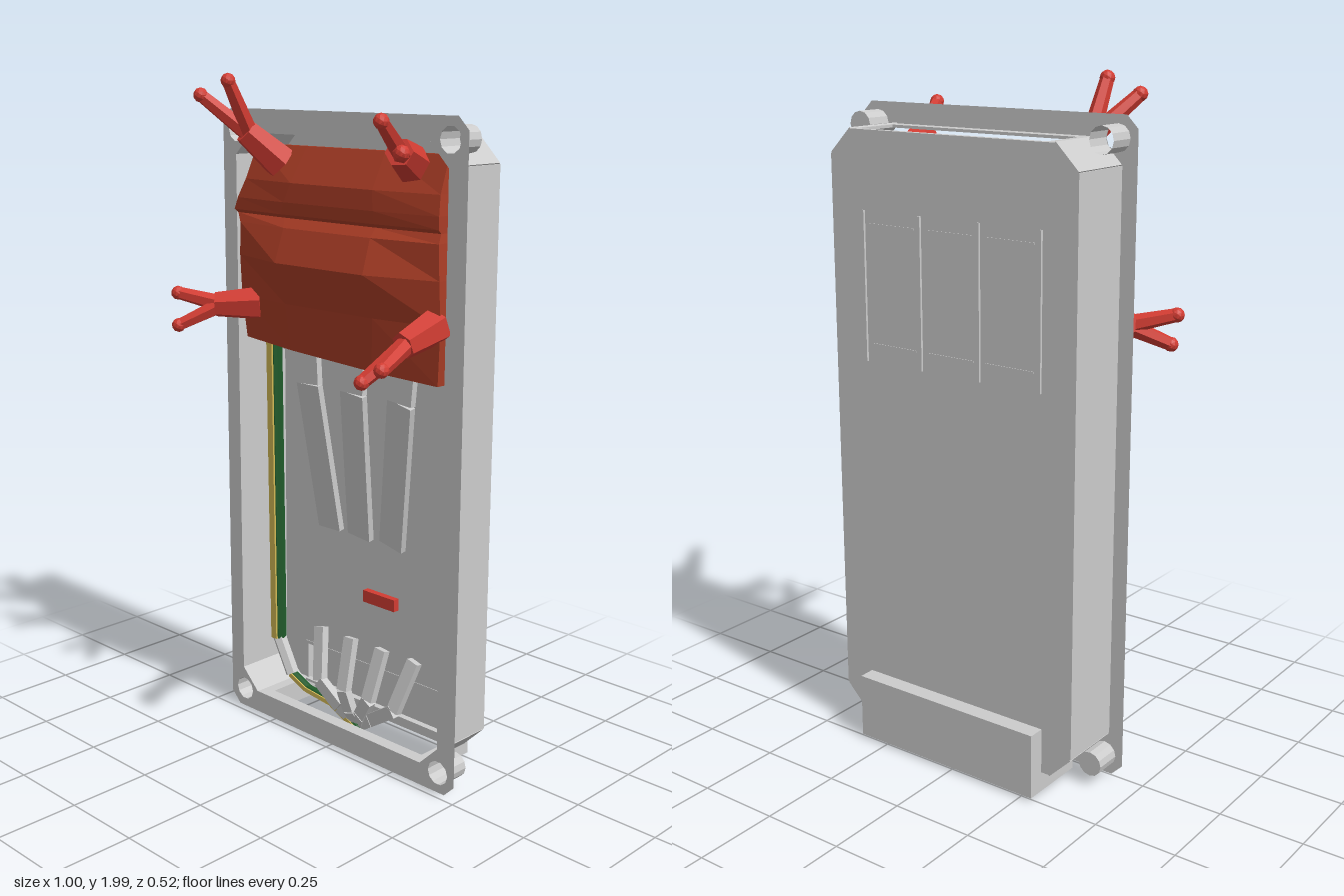
import * as THREE from 'three';

const V = (x, y, z) => new THREE.Vector3(x, y, z);
const mat = (color) => new THREE.MeshStandardMaterial({ color, flatShading: true, side: THREE.DoubleSide });
const GREY = mat(0xcccccc), SKIN = mat(0xa83c25), RED = mat(0xd23c32), GREEN = mat(0x1f5a2a), YELLOW = mat(0xd2b855);

// Housing extents
const X0 = -0.385, X1 = 0.435, Y0 = 0.08, Y1 = 1.84, C = 0.07, ZF = -0.01, ZB = -0.21;

function polygon(points) {
  return new THREE.Shape(points.map(([x, y]) => new THREE.Vector2(x, y)));
}
function chamfered(x0, y0, x1, y1, c) {
  return [[x0 + c, y0], [x1 - c, y0], [x1, y0 + c], [x1, y1 - c], [x1 - c, y1], [x0 + c, y1], [x0, y1 - c], [x0, y0 + c]];
}

export function createModel() {
  const model = new THREE.Group();

  const group = (name) => {
    const g = new THREE.Group();
    g.name = name;
    model.add(g);
    return g;
  };
  const add = (parent, name, geometry, material = GREY) => {
    const m = new THREE.Mesh(geometry, material);
    m.name = name;
    parent.add(m);
    return m;
  };
  // Box given by its two extreme corners
  const box = (parent, name, x0, x1, y0, y1, z0, z1, material) =>
    add(parent, name, new THREE.BoxGeometry(x1 - x0, y1 - y0, z1 - z0), material)
      .position.set((x0 + x1) / 2, (y0 + y1) / 2, (z0 + z1) / 2);
  // Flat bar from a to b, broad side facing forward
  const bar = (parent, name, a, b, width, thick, material) => {
    const y = b.clone().sub(a), length = y.length();
    y.normalize();
    const x = y.clone().cross(V(0, 0, 1)).normalize();
    const m = add(parent, name, new THREE.BoxGeometry(width, length, thick), material);
    m.quaternion.setFromRotationMatrix(new THREE.Matrix4().makeBasis(x, y, x.clone().cross(y)));
    m.position.copy(a).add(b).multiplyScalar(0.5);
  };
  // Tapered rod from a to b
  const rod = (parent, name, a, b, ra, rb, material, sides = 6) => {
    const d = b.clone().sub(a);
    const m = add(parent, name, new THREE.CylinderGeometry(rb, ra, d.length(), sides), material);
    m.quaternion.setFromUnitVectors(V(0, 1, 0), d.normalize());
    m.position.copy(a).add(b).multiplyScalar(0.5);
  };

  // Front flange: thin frame with screw holes
  const corners = [[-0.375, Y1], [X1, Y1], [-0.375, Y0], [X1, Y0]];
  const flange = polygon(chamfered(-0.435, 0.02, 0.495, 1.9, 0.035));
  flange.holes.push(polygon(chamfered(X0, Y0, X1, Y1, C)));
  for (const [x, y] of corners) flange.holes.push(new THREE.Path().absarc(x, y, 0.036, 0, Math.PI * 2));
  add(model, 'frontFlange', new THREE.ShapeGeometry(flange, 5)).position.z = ZF;

  // Screw bosses; the top one on the right side is a through hole
  const bosses = group('screwBosses');
  corners.forEach(([x, y], i) => {
    const tube = add(bosses, 'screwBoss', new THREE.CylinderGeometry(0.037, 0.037, 0.08, 12, 1, true));
    tube.rotation.x = Math.PI / 2;
    tube.position.set(x, y, -0.05);
    if (i) add(bosses, 'bossEnd', new THREE.CircleGeometry(0.037, 12)).position.set(x, y, -0.09);
  });

  // Side walls and chamfered corners
  const walls = group('housingWalls');
  const outline = chamfered(X0, Y0, X1, Y1, C);
  outline.forEach(([ax, ay], i) => {
    const [bx, by] = outline[(i + 1) % 8];
    if (ay !== by) bar(walls, 'wall', V(ax, ay, (ZF + ZB) / 2), V(bx, by, (ZF + ZB) / 2), 0.008, ZF - ZB);
  });
  // End walls, each with a wide window
  for (const y of [Y0, Y1 - 0.008]) {
    box(walls, 'endStrip', X0 + C, X1 - C, y, y + 0.008, -0.05, ZF);
    box(walls, 'endStrip', X0 + C, X1 - C, y, y + 0.008, ZB, -0.19);
    box(walls, 'endPost', X0 + C, -0.28, y, y + 0.008, -0.19, -0.05);
    box(walls, 'endPost', 0.35, X1 - C, y, y + 0.008, -0.19, -0.05);
  }

  // Back panel, notched where the cable hood sits
  const [first, ...rest] = outline;
  const panel = polygon([first, [-0.28, Y0], [-0.28, 0.205], [0.33, 0.205], [0.33, Y0], ...rest]);
  add(model, 'backPanel', new THREE.ExtrudeGeometry(panel, { depth: 0.008, bevelEnabled: false })).position.z = ZB;

  // Cable hood, open underneath
  const hood = group('cableHood');
  box(hood, 'hoodBack', -0.29, 0.34, 0.02, 0.215, -0.26, -0.25);
  box(hood, 'hoodTop', -0.29, 0.34, 0.205, 0.215, -0.255, -0.2);
  const cheek = polygon([[0.05, 0.02], [0.26, 0.02], [0.26, 0.215], [0.2, 0.215], [0.2, 0.08], [0.05, 0.08]]);
  for (const x of [-0.28, 0.34]) {
    const m = add(hood, 'hoodSide', new THREE.ExtrudeGeometry(cheek, { depth: 0.01, bevelEnabled: false }));
    m.rotation.y = Math.PI / 2;
    m.position.x = x - 0.01;
  }

  // Dividers passing through the back panel, with joints between them
  const terminals = group('terminals');
  for (let i = 0; i < 4; i++) {
    const x = -0.277 + i * 0.2;
    box(terminals, 'divider', x - 0.004, x + 0.004, 1.19, 1.62, -0.217, -0.1);
    if (i < 3) for (const y of [1.24, 1.58]) box(terminals, 'joint', x + 0.02, x + 0.18, y, y + 0.005, -0.212, -0.2);
  }
  // Three terminal blocks with flat cables
  const ends = [-0.165, -0.04, 0.09];
  [-0.17, 0.025, 0.225].forEach((x, i) => {
    box(terminals, 'blockBase', x - 0.085, x + 0.085, 1.22, 1.58, -0.19, -0.15);
    box(terminals, 'blockBody', x - 0.07, x + 0.07, 1.25, 1.54, -0.15, -0.07);
    box(terminals, 'blockClamp', x - 0.023, x + 0.023, 1.24, 1.56, -0.13, -0.063);
    const mid = V(x + (ends[i] - x) * 0.2, 1.1, -0.1);
    bar(terminals, 'flatCable', V(x - 0.01, 1.28, -0.1), mid, 0.09, 0.02);
    bar(terminals, 'flatCable', mid, V(ends[i], 0.63, -0.19), 0.09, 0.02);
  });

  // Small cables gathering at the bottom
  const cables = group('lowerCables');
  for (const x of [-0.17, -0.04, 0.09, 0.22]) {
    const pts = [V(x, 0.31, -0.15), V(x * 0.8, 0.15, -0.11), V(x * 0.35, 0.085, -0.12), V(x * 0.1, 0.05, -0.14)];
    for (let i = 0; i < 3; i++) bar(cables, 'cable', pts[i], pts[i + 1], 0.04, 0.025);
  }

  // Striped earth wire along the side, with a sleeve at its lower bend
  const wire = group('earthWire');
  const runs = [
    [V(-0.1, 1.6, -0.14), V(-0.22, 1.72, -0.12), V(-0.335, 1.74, -0.11), V(-0.33, 0.24, -0.12)],
    [V(-0.27, 0.13, -0.12), V(-0.2, 0.1, -0.12), V(-0.1, 0.082, -0.13), V(0, 0.025, -0.14)],
  ];
  runs.forEach((pts, k) => {
    const r = k ? 0.014 : 0.023;
    for (let i = 0; i < 3; i++) {
      rod(wire, 'greenCore', pts[i], pts[i + 1], r, r, GREEN, 8);
      const lift = V(0, 0, r * 0.7);
      bar(wire, 'yellowStripe', pts[i].clone().add(lift), pts[i + 1].clone().add(lift), r, r * 0.8, YELLOW);
    }
  });
  rod(wire, 'sleeve', V(-0.33, 0.24, -0.12), V(-0.27, 0.13, -0.12), 0.022, 0.022);
  add(wire, 'wireTip', new THREE.IcosahedronGeometry(0.018), GREEN).position.set(0, 0.025, -0.14);

  // Label plate
  box(model, 'labelPlate', 0.155, 0.275, 0.525, 0.56, -0.015, 0.005, RED);

  // Body cross-sections, top to bottom: y, left x, right x, edge z, middle z, slope
  const rows = [
    [1.8, -0.33, 0.4, -0.05, -0.045, 0], [1.7, -0.34, 0.405, -0.01, 0.012, 0],
    [1.645, -0.365, 0.41, 0, 0.016, 0], [1.61, -0.38, 0.41, 0, 0.012, 0],
    [1.6, -0.375, 0.41, -0.01, 0.002, 0], [1.575, -0.35, 0.415, 0.005, 0.03, 0],
    [1.48, -0.345, 0.425, 0.012, 0.07, 0], [1.36, -0.34, 0.43, 0.01, 0.035, 0],
    [1.22, -0.325, 0.42, 0.005, 0.025, 0.05],
  ];
  const pos = [], idx = [], n = 6;
  rows.forEach(([y, l, r, e, m, s]) => {
    const loop = [[l, e], [l + 0.21, m], [r - 0.22, m], [r, e], [r, -0.06], [l, -0.06]];
    for (const [x, z] of loop) pos.push(x, y - s * x, z);
  });
  for (let r = 0; r < rows.length - 1; r++) for (let c = 0; c < n; c++) {
    const a = r * n + c, d = r * n + (c + 1) % n;
    idx.push(a, a + n, d + n, a, d + n, d);
  }
  const last = (rows.length - 1) * n;
  for (let i = 1; i < n - 1; i++) idx.push(0, i, i + 1, last, last + i + 1, last + i);
  const bodyGeo = new THREE.BufferGeometry();
  bodyGeo.setAttribute('position', new THREE.Float32BufferAttribute(pos, 3));
  bodyGeo.setIndex(idx);
  bodyGeo.computeVertexNormals();
  add(model, 'creatureBody', bodyGeo, SKIN);

  // Two-fingered hands: root, fork, finger tips
  const hands = [
    ['upperRightHand', V(-0.21, 1.75, -0.03), V(-0.26, 1.84, 0.06), V(-0.247, 1.98, 0.135), V(-0.335, 1.94, 0.16)],
    ['upperLeftHand', V(0.29, 1.77, -0.03), V(0.35, 1.81, 0.09), V(0.38, 1.89, 0.19), V(0.44, 1.815, 0.18)],
    ['lowerRightHand', V(-0.28, 1.34, -0.01), V(-0.38, 1.335, 0.08), V(-0.48, 1.365, 0.14), V(-0.45, 1.275, 0.165)],
    ['lowerLeftHand', V(0.4, 1.36, -0.01), V(0.39, 1.32, 0.11), V(0.352, 1.235, 0.225), V(0.43, 1.28, 0.235)],
  ];
  for (const [name, root, fork, ...tips] of hands) {
    const hand = group(name);
    rod(hand, 'palm', root, fork, 0.052, 0.038, RED);
    for (const tip of tips) {
      const base = fork.clone().lerp(root, 0.15);
      rod(hand, 'finger', base, tip, 0.026, 0.019, RED);
      add(hand, 'fingertip', new THREE.IcosahedronGeometry(0.021, 1), RED).position.copy(tip);
    }
  }
  return model;
}
